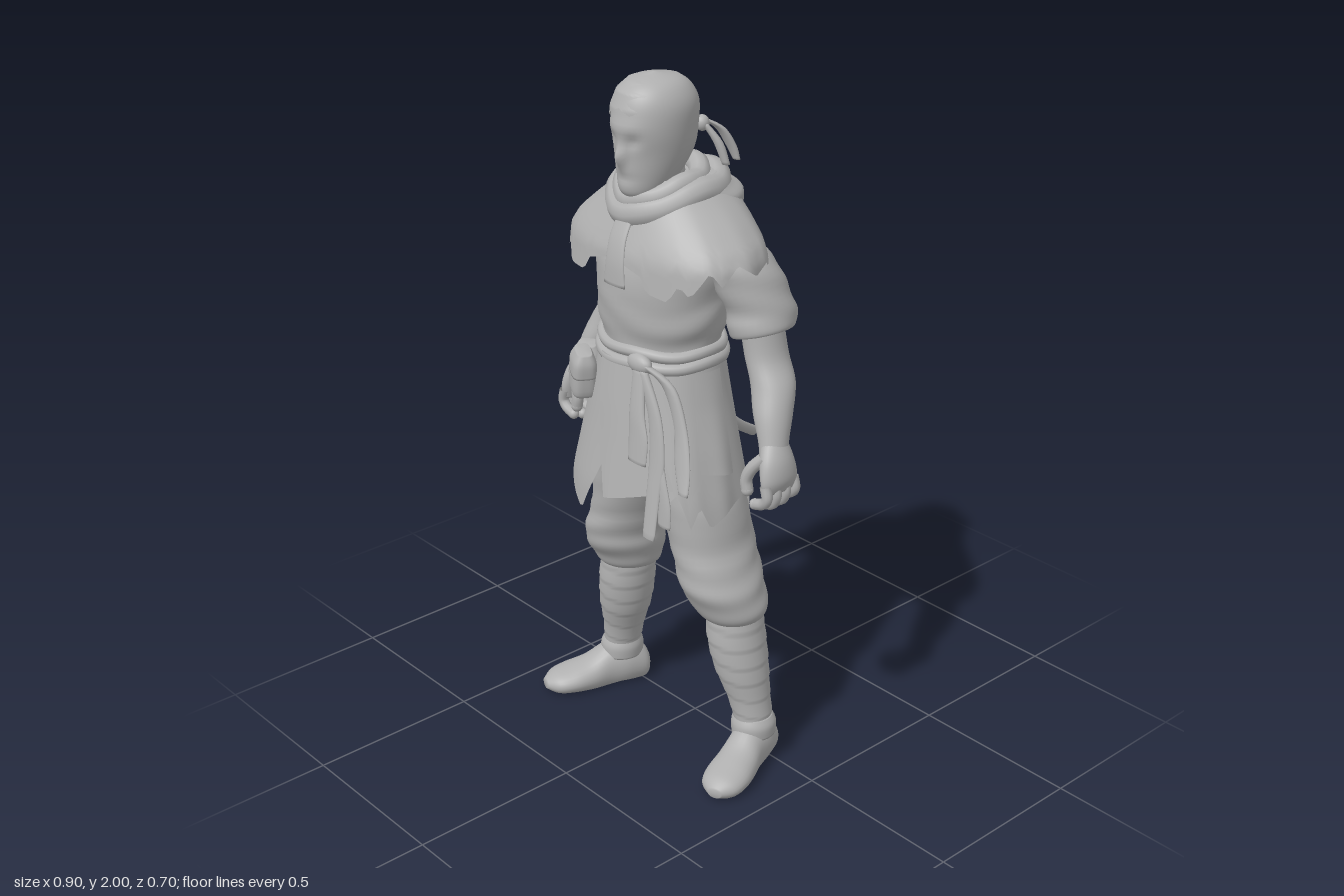
import * as THREE from 'three';

const grey = new THREE.MeshStandardMaterial({ color: 0xb0b0b0, side: THREE.DoubleSide });
grey.name = 'stone grey';
const TAU = Math.PI * 2, RAD = Math.PI / 180;

function add(parent, name, geometry) {
  const mesh = new THREE.Mesh(geometry, grey);
  mesh.name = name;
  parent.add(mesh);
  return mesh;
}

function surface(pos, idx) {
  const g = new THREE.BufferGeometry();
  g.setAttribute('position', new THREE.Float32BufferAttribute(pos, 3));
  g.setIndex(idx);
  g.computeVertexNormals();
  return g;
}

function spline(p, t) {
  const f = t * (p.length - 1), i = Math.min(Math.floor(f), p.length - 2), u = f - i;
  const a = p[Math.max(i - 1, 0)], b = p[i], c = p[i + 1], d = p[Math.min(i + 2, p.length - 1)];
  return b.map((_, k) => b[k] + 0.5 * u * (c[k] - a[k] + u * (2 * a[k] - 5 * b[k] + 4 * c[k] - d[k]
    + u * (3 * (b[k] - c[k]) + d[k] - a[k]))));
}

// Closed body through elliptical sections [x, y, z, rx, rz]
function loft(sections, { n = 28, steps = 5, shape = () => 1, tilt = 0 } = {}) {
  const s = sections[0][1] > sections.at(-1)[1] ? [...sections].reverse() : sections;
  const rows = (s.length - 1) * steps, pos = [], idx = [];
  for (let j = 0; j <= rows; j++) {
    const [x, y, z, rx, rz] = spline(s, j / rows);
    for (let i = 0; i < n; i++) {
      const a = i / n * TAU, m = shape(a, y);
      const dx = Math.max(rx, 0) * m * Math.sin(a);
      pos.push(x + dx, y + tilt * dx, z + Math.max(rz, 0) * m * Math.cos(a));
      const p = j * n + i, q = j * n + (i + 1) % n;
      if (j < rows) idx.push(p, q, q + n, p, q + n, p + n);
    }
  }
  const base = pos.length / 3, last = rows * n;
  pos.push(...s[0].slice(0, 3), ...s.at(-1).slice(0, 3));
  for (let i = 0; i < n; i++) {
    const k = (i + 1) % n;
    idx.push(base, k, i, base + 1, last + i, last + k);
  }
  return surface(pos, idx);
}

// Piecewise linear lookup in rows [key, ...values] sorted by key
function lookup(rows, key) {
  let i = 0;
  while (i < rows.length - 2 && key > rows[i + 1][0]) i++;
  const a = rows[i], b = rows[i + 1];
  const u = THREE.MathUtils.clamp((key - a[0]) / (b[0] - a[0]), 0, 1);
  return a.slice(1).map((v, k) => v + (b[k + 1] - v) * u);
}

// Hanging cloth: profile rows [y, rx, cz, rz], hem rows [degrees, y], 0 degrees is the front
function drape(profile, top, hem, { from = -180, to = 180, out = 0, shear = 0, fold = 0.012, boxy = 0, n = 120, rows = 14 } = {}) {
  const pos = [], idx = [];
  for (let j = 0; j <= rows; j++) for (let i = 0; i <= n; i++) {
    const deg = from + (to - from) * i / n, u = j / rows;
    const y = top + (lookup(hem, deg)[0] - top) * u;
    const [rx, cz, rz] = lookup(profile, y), a = (deg + shear * u) * RAD;
    const m = 1 + fold * u * Math.sin(a * 9 + Math.sin(a * 4)) + boxy * u * Math.sin(2 * a) ** 2;
    pos.push((rx + out) * m * Math.sin(a), y, cz + (rz + out) * m * Math.cos(a));
    const p = j * (n + 1) + i;
    if (j < rows && i < n) idx.push(p, p + n + 1, p + n + 2, p, p + n + 2, p + 1);
  }
  return surface(pos, idx);
}

// Rolled cloth ring with separate heights at front, sides and back
function roll(rx, rz, cz, front, side, back, r) {
  const pts = [];
  for (let i = 0; i < 24; i++) {
    const a = i / 24 * TAU, c = Math.cos(a);
    const y = side + (c > 0 ? front - side : back - side) * c * c;
    pts.push(new THREE.Vector3(rx * Math.sin(a), y + 0.004 * Math.sin(a * 5), cz + rz * c));
  }
  return new THREE.TubeGeometry(new THREE.CatmullRomCurve3(pts, true), 72, r, 10, true);
}

function tube(points, r, n = 10) {
  const path = new THREE.CatmullRomCurve3(points.map(p => new THREE.Vector3(...p)));
  return new THREE.TubeGeometry(path, 24, r, n);
}

function ball(parent, name, [x, y, z], [sx, sy, sz]) {
  const mesh = add(parent, name, new THREE.SphereGeometry(1, 18, 12).scale(sx, sy, sz));
  mesh.position.set(x, y, z);
}

function head(g) {
  const bump = (v, c, w) => Math.exp(-(((v - c) / w) ** 2));
  const face = (a, y) => {
    const d = a > Math.PI ? a - TAU : a;
    return 1 + 0.2 * bump(d, 0, 0.15) * bump(y, 1.795, 0.026) + 0.04 * bump(d, 0, 0.6) * bump(y, 1.875, 0.015)
      - 0.08 * bump(Math.abs(d), 0.4, 0.2) * bump(y, 1.84, 0.016) - 0.05 * bump(d, 0, 0.5) * bump(y, 1.738, 0.012);
  };
  add(g, 'head', loft([[.005, 1.68, .195, .035, .04], [.005, 1.7, .185, .058, .068], [.005, 1.74, .165, .076, .093],
    [.005, 1.8, .146, .093, .114], [.005, 1.86, .145, .102, .123], [.005, 1.92, .14, .102, .12],
    [.005, 1.96, .14, .086, .102], [.005, 1.985, .14, .058, .07], [.005, 1.997, .14, .012, .014]], { n: 56, shape: face }));
  add(g, 'neck', loft([[0, 1.6, .1, .08, .08], [0, 1.7, .12, .065, .07], [0, 1.78, .13, .065, .07]]));
  // Head cloth with its tied ends
  add(g, 'headCloth', drape([[1.78, .096, .143, .121], [1.86, .105, .145, .126], [1.92, .105, .14, .123], [1.96, .09, .14, .106],
    [1.985, .064, .14, .075], [2, .002, .14, .002]], 2,
    [[-180, 1.82], [-90, 1.85], [0, 1.925], [90, 1.85], [180, 1.82]], { fold: 0, rows: 24 }));
  ball(g, 'headClothKnot', [.05, 1.85, .02], [.02, .022, .02]);
  add(g, 'headClothTail', loft([[.05, 1.86, .015, .012, .01], [.065, 1.83, -.03, .016, .012], [.075, 1.78, -.06, .018, .012],
    [.085, 1.74, -.072, .012, .008]]));
  add(g, 'headClothTail', loft([[.06, 1.85, .02, .01, .008], [.085, 1.8, -.005, .014, .012], [.1, 1.74, -.02, .012, .01]]));
}

function upperBody(g) {
  const creases = (a, y) => 1 + .01 * Math.sin(y * 65 + 3 * Math.sin(a * 2)) * (y < 1.42 ? 1 : .3);
  add(g, 'tunic', loft([[0, 1.2, .12, .185, .15], [0, 1.28, .12, .178, .15], [0, 1.34, .115, .195, .165], [0, 1.42, .105, .198, .178],
    [0, 1.5, .1, .215, .174], [0, 1.58, .09, .21, .155], [0, 1.64, .085, .15, .12], [0, 1.68, .1, .08, .08]], { n: 48, shape: creases }));
  // Torn shoulder mantle
  add(g, 'mantle', drape([[1.45, .328, .1, .195], [1.54, .32, .1, .187], [1.575, .3, .093, .18], [1.62, .25, .085, .168],
    [1.66, .2, .08, .155], [1.73, .11, .085, .125]], 1.73,
    [[-180, 1.58], [-150, 1.53], [-132, 1.46], [-118, 1.53], [-100, 1.51], [-85, 1.55], [-74, 1.52], [-58, 1.54], [-52, 1.48], [-44, 1.5],
      [-38, 1.455], [-22, 1.46], [-18, 1.5], [0, 1.53], [18, 1.5], [22, 1.46], [34, 1.45], [40, 1.5], [46, 1.47], [58, 1.54], [66, 1.5],
      [80, 1.55], [98, 1.51], [114, 1.53], [130, 1.46], [148, 1.53], [180, 1.58]], { fold: .008, boxy: .05 }));
  add(g, 'chestStrip', loft([[.005, 1.64, .245, .03, .008], [.005, 1.58, .275, .032, .008], [.01, 1.52, .291, .036, .008], [.012, 1.455, .296, .042, .007]]));
  // Scarf rolls and lowered hood
  add(g, 'scarfRoll', roll(.098, .102, .118, 1.67, 1.715, 1.735, .03));
  add(g, 'scarfRoll', roll(.125, .132, .095, 1.635, 1.69, 1.7, .04));
  add(g, 'hood', loft([[0, 1.565, -.06, .02, .02], [0, 1.6, -.04, .09, .06], [0, 1.63, -.005, .145, .107], [0, 1.67, .045, .17, .153],
    [0, 1.7, .06, .15, .13], [0, 1.73, .07, .12, .1]], { n: 36, shape: (a, y) => 1 + .012 * Math.sin(y * 130 + 3 * Math.cos(a)) }));
}

function arm(g, s) {
  const m = list => list.map(([x, y, z, rx, rz]) => [s * x, y, z, rx, rz]);
  add(g, 'sleeve', loft(m([[.17, 1.58, .06, .04, .06], [.205, 1.53, .045, .07, .095], [.235, 1.47, .025, .08, .1], [.26, 1.4, .005, .08, .096],
    [.268, 1.355, 0, .087, .1], [.275, 1.325, .005, .08, .09], [.28, 1.33, .01, .05, .06]]),
  { tilt: s * .3, shape: (a, y) => 1 + .02 * Math.sin(y * 80 + a * 2) }));
  add(g, 'forearm', loft(m([[.275, 1.36, .01, .055, .062], [.293, 1.27, .008, .056, .063], [.33, 1.2, .018, .06, .062],
    [.36, 1.13, .045, .052, .056], [.388, 1.06, .068, .038, .044], [.4, 1.02, .075, .035, .045]])));
  add(g, 'palm', loft(m([[.39, 1.07, .07, .03, .036], [.41, 1.02, .078, .034, .054], [.422, .97, .08, .03, .062], [.422, .935, .08, .02, .056]])));
  for (let i = 0; i < 4; i++) {
    const z = .03 + i * .034, d = Math.abs(i - 1.6) * .01;
    add(g, 'finger', tube([[s * .425, .96, z], [s * .432, .925, z], [s * .418, .892 + d, z], [s * .388, .88 + d, z]], .0155));
    ball(g, 'fingertip', [s * .386, .88 + d, z], [.0155, .0155, .0155]);
  }
  add(g, 'thumb', tube([[s * .4, 1.03, .115], [s * .372, .995, .132], [s * .358, .96, .138], [s * .362, .93, .138]], .017));
  ball(g, 'thumbTip', [s * .362, .93, .138], [.017, .018, .017]);
}

function leg(g, s) {
  const m = list => list.map(([x, y, z, rx, rz]) => [s * x, y, z, rx, rz]);
  // Baggy trouser gathered below the knee
  add(g, 'trouserLeg', loft(m([[.08, 1.05, .11, .1, .12], [.105, .9, .11, .115, .13], [.145, .8, .1, .112, .13], [.17, .7, .09, .102, .13],
    [.2, .61, .09, .106, .128], [.212, .56, .085, .112, .123], [.222, .51, .072, .112, .108], [.225, .475, .064, .1, .096], [.228, .455, .06, .07, .075]]),
  { n: 36, shape: (a, y) => 1 + (y < .7 ? .02 : .006) * Math.sin(y * 75 + s * Math.sin(a + .6) * 3) }));
  // Wrapped shin
  add(g, 'shinWrap', loft(m([[.228, .5, .06, .08, .08], [.24, .4, .058, .082, .087], [.257, .3, .052, .077, .08], [.278, .21, .043, .062, .064],
    [.292, .14, .038, .056, .058], [.296, .09, .036, .056, .056]]),
  { n: 32, steps: 14, shape: (a, y) => 1.015 - .035 * (((y + .01 * Math.sin(a)) * 18 + 10) % 1) }));
  add(g, 'bootCuff', loft(m([[.296, .09, .038, .062, .066], [.295, .125, .038, .064, .066], [.292, .15, .038, .055, .056]])));
  // Shoe, lofted heel to toe with a flat sole
  const shoe = loft([[0, -.083, -.04, .02, .025], [0, -.065, -.045, .05, .055], [0, -.01, -.06, .06, .08], [0, .05, -.05, .056, .076],
    [0, .11, -.035, .063, .055], [0, .17, -.03, .067, .042], [0, .22, -.026, .055, .032], [0, .253, -.024, .02, .014]]);
  shoe.rotateX(Math.PI / 2);
  const p = shoe.attributes.position;
  for (let i = 0; i < p.count; i++) p.setY(i, Math.max(p.getY(i), 0));
  shoe.computeVertexNormals();
  const mesh = add(g, 'shoe', shoe);
  mesh.position.set(s * .295, 0, .037);
  mesh.rotation.y = s * .36;
}

function waist(g) {
  const skirt = [[.68, .29, .135, .205], [.85, .272, .135, .2], [1.0, .24, .13, .182], [1.12, .21, .125, .17], [1.26, .182, .12, .152]];
  // Torn skirt, split at the front and notched at the back
  add(g, 'skirt', drape(skirt, 1.26, [[-180, .74], [-173, .68], [-150, .77], [-125, .83], [-118, .88], [-112, .82], [-80, .87], [-58, .86],
    [-22, .76], [-2, .97], [4, .97], [35, .92], [45, .87], [52, .9], [60, .8], [68, .86], [76, .79], [95, .83], [115, .85], [122, .9],
    [128, .82], [155, .67], [168, .76], [180, .74]], { boxy: .05 }));
  add(g, 'frontFlap', drape(skirt, 1.24, [[-20, .845], [35, .92]], { from: -20, to: 28, out: .012, shear: 22, n: 24 }));
  add(g, 'sidePanel', drape(skirt, 1.22, [[70, .95], [100, .93]], { from: 70, to: 100, out: .014, n: 16 }));
  // Belt rolls, knot and torn sash ends
  add(g, 'sash', roll(.178, .148, .12, 1.265, 1.265, 1.265, .017));
  add(g, 'sash', roll(.183, .153, .12, 1.23, 1.235, 1.24, .018));
  ball(g, 'sashKnot', [.08, 1.245, .27], [.045, .028, .022]);
  const tails = [
    [[.085, 1.24, .275, .022, .012], [.1, 1.12, .298, .03, .01], [.115, 1.05, .308, .038, .008], [.12, .98, .318, .036, .006]],
    [[.09, 1.24, .275, .02, .012], [.15, 1.12, .28, .026, .01], [.175, 1.0, .295, .03, .008], [.178, .9, .312, .026, .007], [.182, .78, .333, .024, .005]],
    [[.16, 1.06, .285, .02, .008], [.19, .96, .298, .024, .008], [.215, .88, .305, .026, .007], [.22, .82, .31, .024, .005]],
    [[.1, 1.25, .275, .02, .012], [.17, 1.2, .248, .025, .012], [.22, 1.1, .25, .025, .01], [.25, 1.0, .27, .03, .008], [.275, .93, .29, .018, .006]]];
  tails.forEach(t => add(g, 'sashTail', loft(t, { n: 14 })));
  // Belt pouches
  const pouches = [[-.16, 1.145, .272, .05, .066, .035, -.5], [-.225, 1.13, .2, .034, .062, .043, -.9]];
  for (const [x, y, z, rx, ry, rz, turn] of pouches) {
    const square = a => 1 / Math.pow(Math.sin(a) ** 4 + Math.cos(a) ** 4, 1 / 4);
    const pouch = new THREE.Group();
    pouch.name = 'beltPouch';
    pouch.position.set(x, y, z);
    pouch.rotation.set(0, turn, -.15);
    g.add(pouch);
    add(pouch, 'pouchBody', loft([[0, -ry, 0, rx * .6, rz * .6], [0, -ry * .75, 0, rx, rz], [0, ry * .5, 0, rx * .92, rz * .9],
      [0, ry, 0, rx * .7, rz * .6]], { shape: square }));
    add(pouch, 'pouchFlap', loft([[0, 0, 0, rx * 1.0, rz * 1.02], [0, ry * .6, 0, rx * .95, rz * .95], [0, ry * 1.04, 0, rx * .7, rz * .6]], { shape: square }));
  }
  // Curved scabbard at the back
  const end = [-.125, .782, -.345];
  add(g, 'scabbard', tube([[-.115, 1.22, -.03], [-.103, 1.13, -.055], [-.088, 1.02, -.1], [-.08, .93, -.165], [-.089, .85, -.245], end], .016, 12));
  ball(g, 'scabbardTip', end, [.016, .016, .01]);
  ball(g, 'scabbardMouth', [-.112, 1.18, -.042], [.022, .03, .022]);
}

export function createModel() {
  const model = new THREE.Group();
  model.name = 'hoodedFighter';
  const part = (name, build, ...args) => {
    const g = new THREE.Group();
    g.name = name;
    build(g, ...args);
    model.add(g);
  };
  part('headGroup', head);
  part('upperBody', upperBody);
  part('waist', waist);
  for (const s of [1, -1]) {
    const side = s > 0 ? 'left' : 'right';
    part(side + 'Arm', arm, s);
    part(side + 'Leg', leg, s);
  }
  return model;
}
